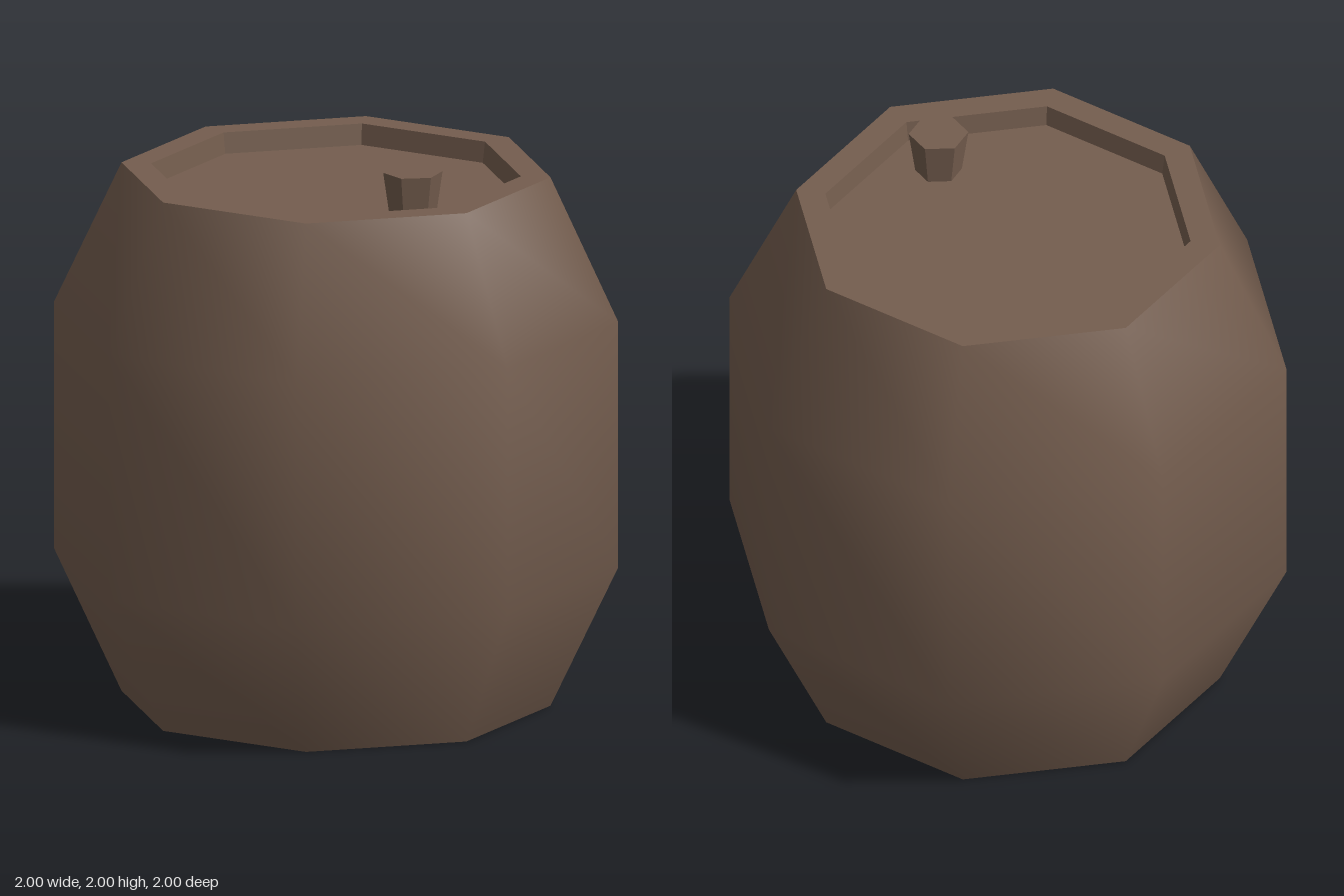
import * as THREE from 'three';

const SIDES = 8;
const RIM_Y = 1.915, FLOOR_Y = 1.84;

const wood = new THREE.MeshStandardMaterial({ color: 0x745d4e });
wood.name = 'brown wood';

// Turns [radius, height] pairs into an eight-sided shell
function lathe(profile) {
  return new THREE.LatheGeometry(profile.map(([r, y]) => new THREE.Vector2(r, y)), SIDES);
}

// Gives every face its own normal
function faceted(geometry) {
  const flat = geometry.toNonIndexed();
  flat.computeVertexNormals();
  return flat;
}

export function createModel() {
  const barrel = new THREE.Group();
  barrel.name = 'barrel';

  function add(name, geometry) {
    const mesh = new THREE.Mesh(geometry, wood);
    mesh.name = name;
    barrel.add(mesh);
    return mesh;
  }

  // Bulging side with smooth shading
  add('staves', lathe([[0.76, 0], [1, 0.51], [1, 1.4], [0.76, RIM_Y]]));

  // Flat rim and the short wall down to the lid
  add('rim', faceted(lathe([[0.76, RIM_Y], [0.655, RIM_Y]])));
  add('rimWall', faceted(lathe([[0.655, RIM_Y], [0.645, FLOOR_Y]])));

  // Sunken lid and base
  add('lid', new THREE.CircleGeometry(0.645, SIDES).rotateX(-Math.PI / 2)).position.y = FLOOR_Y;
  add('base', new THREE.CircleGeometry(0.76, SIDES).rotateX(Math.PI / 2));

  // Tapered six-sided bung in the lid
  const height = 2 - FLOOR_Y;
  const bung = add('bung', faceted(new THREE.CylinderGeometry(0.105, 0.082, height, 6).rotateY(Math.PI / 6)));
  bung.position.set(0.448, FLOOR_Y + height / 2, 0);

  return barrel;
}
